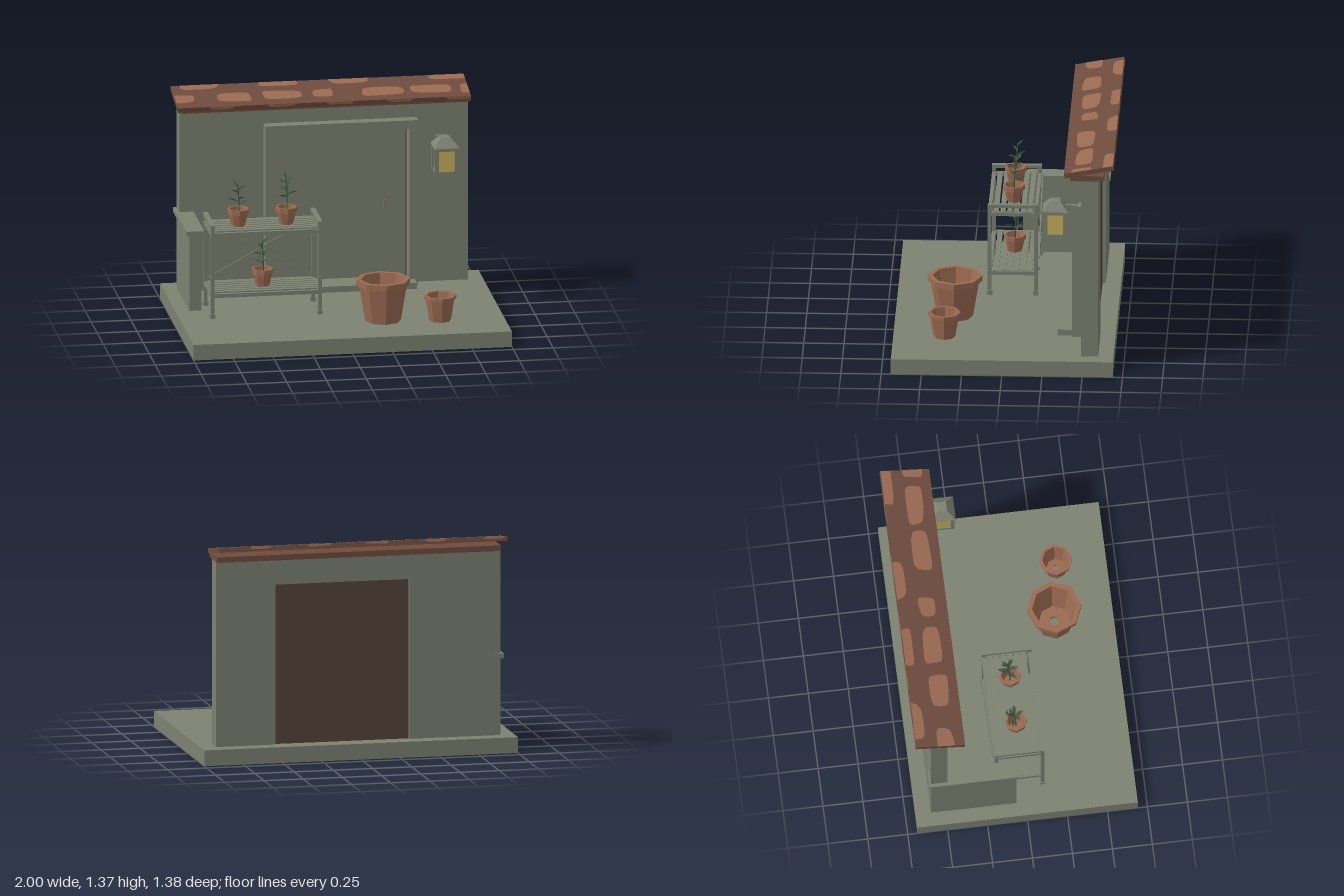
import * as THREE from 'three';

const mat = (name, color, side = THREE.FrontSide) => {
  const m = new THREE.MeshStandardMaterial({ color, side });
  m.name = name;
  return m;
};

export function createModel() {
  const stone = mat('greyStone', 0x7d8272);
  const clay = mat('terracotta', 0x9c6b52);
  const tile = mat('roofBrown', 0x6f4c3e);
  const dark = mat('doorBackBrown', 0x54433b);
  const glass = mat('lampYellow', 0xcbb25a);
  const leafGreen = mat('leafGreen', 0x41573f, THREE.DoubleSide);

  const root = new THREE.Group();
  root.name = 'gardenCorner';
  const group = (name, parent = root) => {
    const g = new THREE.Group();
    g.name = name;
    parent.add(g);
    return g;
  };
  const add = (parent, name, geo, material) => {
    const m = new THREE.Mesh(geo, material);
    m.name = name;
    parent.add(m);
    return m;
  };
  // Box given by its two extremes on each axis
  const box = (parent, name, material, x0, x1, y0, y1, z0, z1) => {
    const m = add(parent, name, new THREE.BoxGeometry(x1 - x0, y1 - y0, z1 - z0), material);
    m.position.set((x0 + x1) / 2, (y0 + y1) / 2, (z0 + z1) / 2);
    return m;
  };
  const faceted = (geo) => {
    const g = geo.toNonIndexed();
    g.computeVertexNormals();
    return g;
  };

  // Ground slab
  box(root, 'groundSlab', stone, -1, 1, 0, 0.1, -0.69, 0.69);

  // House wall with a door opening
  const wallShape = new THREE.Shape([
    [-0.91, 0.1], [-0.33, 0.1], [-0.33, 1.11], [0.525, 1.11],
    [0.525, 0.1], [0.905, 0.1], [0.905, 1.27], [-0.91, 1.27],
  ].map(([x, y]) => new THREE.Vector2(x, y)));
  const wall = add(root, 'houseWall',
    new THREE.ExtrudeGeometry(wallShape, { depth: 0.105, bevelEnabled: false }), stone);
  wall.position.z = -0.595;

  // Door, frame, sill and handle
  const door = group('door');
  box(door, 'doorBack', dark, -0.33, 0.525, 0.1, 1.11, -0.575, -0.54);
  box(door, 'doorPanel', stone, -0.32, 0.515, 0.1, 1.1, -0.54, -0.505);
  box(door, 'frameLeft', stone, 0.525, 0.58, 0.1, 1.165, -0.49, -0.42);
  box(door, 'frameRight', stone, -0.38, -0.33, 0.1, 1.165, -0.49, -0.42);
  box(door, 'frameTop', stone, -0.33, 0.525, 1.11, 1.165, -0.49, -0.42);
  box(door, 'doorStep', stone, -0.375, 0.56, 0.1, 0.138, -0.505, -0.33);
  box(door, 'doorHandle', clay, 0.375, 0.39, 0.585, 0.635, -0.505, -0.49);

  // Low side wall with cap
  box(root, 'sideWall', stone, -0.912, -0.835, 0.1, 0.585, -0.5, -0.06);
  box(root, 'sideWallCap', stone, -0.932, -0.82, 0.585, 0.615, -0.605, -0.05);

  // Roof: beam and sloping slab with worn patches
  box(root, 'roofBeam', tile, -0.905, 0.905, 1.27, 1.305, -0.633, -0.42);
  const roof = group('roof');
  roof.position.set(-0.0135, 1.331, -0.5375);
  roof.rotation.x = THREE.MathUtils.degToRad(10.4);
  const HX = 0.92, HZ = 0.155, HY = 0.0152;
  box(roof, 'roofSlab', tile, -HX, HX, -HY, HY, -HZ, HZ);
  const clamp = THREE.MathUtils.clamp;
  const blob = (x0, x1, v0, v1, seed, hx, hv) => {
    const pts = [];
    for (let i = 0; i < 24; i++) {
      const a = (i / 24) * Math.PI * 2, c = Math.cos(a), s = Math.sin(a);
      const k = 1 + 0.06 * Math.sin(2 * a + seed) + 0.05 * Math.sin(3 * a + seed * 2);
      const x = (x0 + x1) / 2 + (x1 - x0) / 2 * k * Math.sign(c) * Math.sqrt(Math.abs(c));
      const v = (v0 + v1) / 2 + (v1 - v0) / 2 * k * Math.sign(s) * Math.sqrt(Math.abs(s));
      pts.push(new THREE.Vector2(clamp(x, -hx, hx), clamp(v, -hv, hv)));
    }
    return new THREE.ShapeGeometry(new THREE.Shape(pts));
  };
  // Each patch: x range, then z range
  [[-0.88, -0.64, -0.72, -0.63], [-0.38, -0.15, -0.72, -0.63], [0.05, 0.3, -0.72, -0.63],
    [0.68, 0.95, -0.72, -0.63], [-0.99, -0.82, -0.56, -0.45], [-0.66, -0.46, -0.565, -0.44],
    [-0.39, -0.14, -0.565, -0.455], [-0.07, 0.06, -0.56, -0.46], [0.24, 0.49, -0.56, -0.44],
    [0.55, 0.8, -0.56, -0.45], [0.85, 0.99, -0.55, -0.43],
  ].forEach(([x0, x1, z0, z1], i) => {
    const p = add(roof, 'roofPatch',
      blob(x0 + 0.0135, x1 + 0.0135, -(z1 + 0.5375), -(z0 + 0.5375), i * 1.7, HX, HZ), clay);
    p.rotation.x = -Math.PI / 2;
    p.position.y = HY + 0.001;
  });
  // Patches on the roof's front and back edges
  for (let i = 0; i < 5; i++) {
    const x = -0.72 + i * 0.37;
    add(roof, 'frontEdgePatch', blob(x, x + 0.16, -0.004, 0.03, i, HX, HY), clay).position.z = HZ + 0.001;
    const b = add(roof, 'backEdgePatch', blob(x, x + 0.14, 0, 0.03, i, HX, HY), clay);
    b.rotation.y = Math.PI;
    b.position.z = -HZ - 0.001;
  }

  // Wall lantern
  const lamp = group('lantern');
  lamp.position.set(0.735, 0, -0.325);
  box(lamp, 'lampBase', stone, -0.065, 0.065, 0.84, 0.862, -0.065, 0.065);
  box(lamp, 'lampGlass', glass, -0.058, 0.058, 0.862, 1.005, -0.058, 0.058);
  for (const sx of [-1, 1]) {
    for (const sz of [-1, 1]) {
      box(lamp, 'lampPost', stone, sx * 0.062 - 0.012, sx * 0.062 + 0.012, 0.855, 1.02,
        sz * 0.06 - 0.012, sz * 0.06 + 0.012);
    }
    box(lamp, 'lampRail', stone, -0.07, 0.07, 0.85, 0.87, sx * 0.06 - 0.01, sx * 0.06 + 0.01);
    box(lamp, 'lampRail', stone, sx * 0.06 - 0.01, sx * 0.06 + 0.01, 0.85, 0.87, -0.07, 0.07);
  }
  box(lamp, 'lampTopPlate', stone, -0.07, 0.07, 1.0, 1.022, -0.07, 0.07);
  const hood = add(lamp, 'lampHood', faceted(
    new THREE.CylinderGeometry(0.03 * Math.SQRT2, 0.08 * Math.SQRT2, 0.058, 4)), stone);
  hood.rotation.y = Math.PI / 4;
  hood.position.y = 1.051;
  box(lamp, 'lampArm', stone, -0.012, 0.012, 1.028, 1.046, -0.145, -0.03);
  box(lamp, 'lampWallPlate', stone, -0.035, 0.035, 0.855, 1.045, -0.168, -0.14);

  // Plant shelf
  const shelf = group('plantShelf');
  const X0 = -0.805, X1 = -0.108, Z0 = -0.18, Z1 = 0.13, T = 0.023;
  for (const x of [X0, X1 - T]) {
    for (const z of [Z0, Z1 - T]) {
      box(shelf, 'shelfLeg', stone, x, x + T, 0.1, 0.69, z, z + T);
      box(shelf, 'shelfFoot', stone, x - 0.005, x + T + 0.005, 0.1, 0.125, z - 0.005, z + T + 0.005);
    }
    box(shelf, 'sideHandle', stone, x - 0.003, x + T + 0.003, 0.68, 0.7, Z0, Z1);
  }
  for (const y of [0.232, 0.625]) {
    for (const z of [Z0, Z1 - T]) box(shelf, 'longRail', stone, X0, X1, y, y + 0.024, z, z + T);
    for (const x of [X0, X1 - T]) box(shelf, 'crossRail', stone, x, x + T, y, y + 0.024, Z0, Z1);
    for (let i = 0; i < 6; i++) {
      const z = -0.148 + i * 0.042;
      box(shelf, 'slat', stone, X0 + 0.01, X1 - 0.01, y + 0.016, y + 0.028, z, z + 0.032);
    }
  }
  for (const s of [-1, 1]) {
    const brace = add(shelf, 'crossBrace', new THREE.BoxGeometry(0.74, 0.02, 0.008), stone);
    brace.position.set((X0 + X1) / 2, 0.443, Z0 - 0.001 + s * 0.004);
    brace.rotation.z = s * Math.atan2(0.355, 0.65);
  }

  // Eight-sided hollow pot with a drain hole
  const pot = (parent, name, rim, foot, h, rimH) => {
    const body = rim * 0.89, inner = rim * 0.82, hole = rim * 0.17;
    const profile = [
      [hole, 0], [foot, 0], [body, h - rimH], [rim, h - rimH], [rim, h],
      [inner, h], [foot * 0.88, h * 0.08], [hole, h * 0.08], [hole, 0],
    ].map(([r, y]) => new THREE.Vector2(r, y));
    return add(parent, name, faceted(new THREE.LatheGeometry(profile, 8)), clay);
  };
  pot(root, 'largePot', 0.17, 0.112, 0.268, 0.036).position.set(0.247, 0.1, 0.32);
  pot(root, 'smallPot', 0.102, 0.068, 0.162, 0.022).position.set(0.597, 0.1, 0.372);

  // Folded leaf lying along +x
  const leafGeo = new THREE.BufferGeometry();
  leafGeo.setAttribute('position', new THREE.Float32BufferAttribute([
    0, 0, 0, 0.035, 0.006, 0.014, 0.072, -0.004, 0,
    0, 0, 0, 0.072, -0.004, 0, 0.035, 0.006, -0.014,
  ], 3));
  leafGeo.computeVertexNormals();

  const pottedPlant = (x, y, top, count, turn) => {
    const g = group('pottedPlant');
    g.position.set(x, y, -0.025);
    pot(g, 'plantPot', 0.068, 0.043, 0.108, 0.03);
    const h = top - y;
    const curve = new THREE.CatmullRomCurve3([
      new THREE.Vector3(0, 0.008, 0), new THREE.Vector3(0.004, h * 0.5, -0.004),
      new THREE.Vector3(-0.002, h, -0.012),
    ]);
    add(g, 'stem', new THREE.TubeGeometry(curve, 8, 0.004, 5), leafGreen);
    for (let i = 0; i < count; i++) {
      const t = i / (count - 1);
      const leaf = add(g, 'leaf', leafGeo, leafGreen);
      leaf.position.copy(curve.getPoint(THREE.MathUtils.lerp(0.5, 0.95, t)));
      leaf.rotation.set(0.3 * Math.sin(i * 2), turn + i * 2.4, 0.3 + 0.35 * t, 'YZX');
      leaf.scale.setScalar(1.1 - 0.35 * t);
    }
  };
  pottedPlant(-0.61, 0.652, 0.91, 7, 0.4);
  pottedPlant(-0.307, 0.652, 0.955, 9, 1.3);
  pottedPlant(-0.457, 0.258, 0.535, 8, 2.5);

  return root;
}
